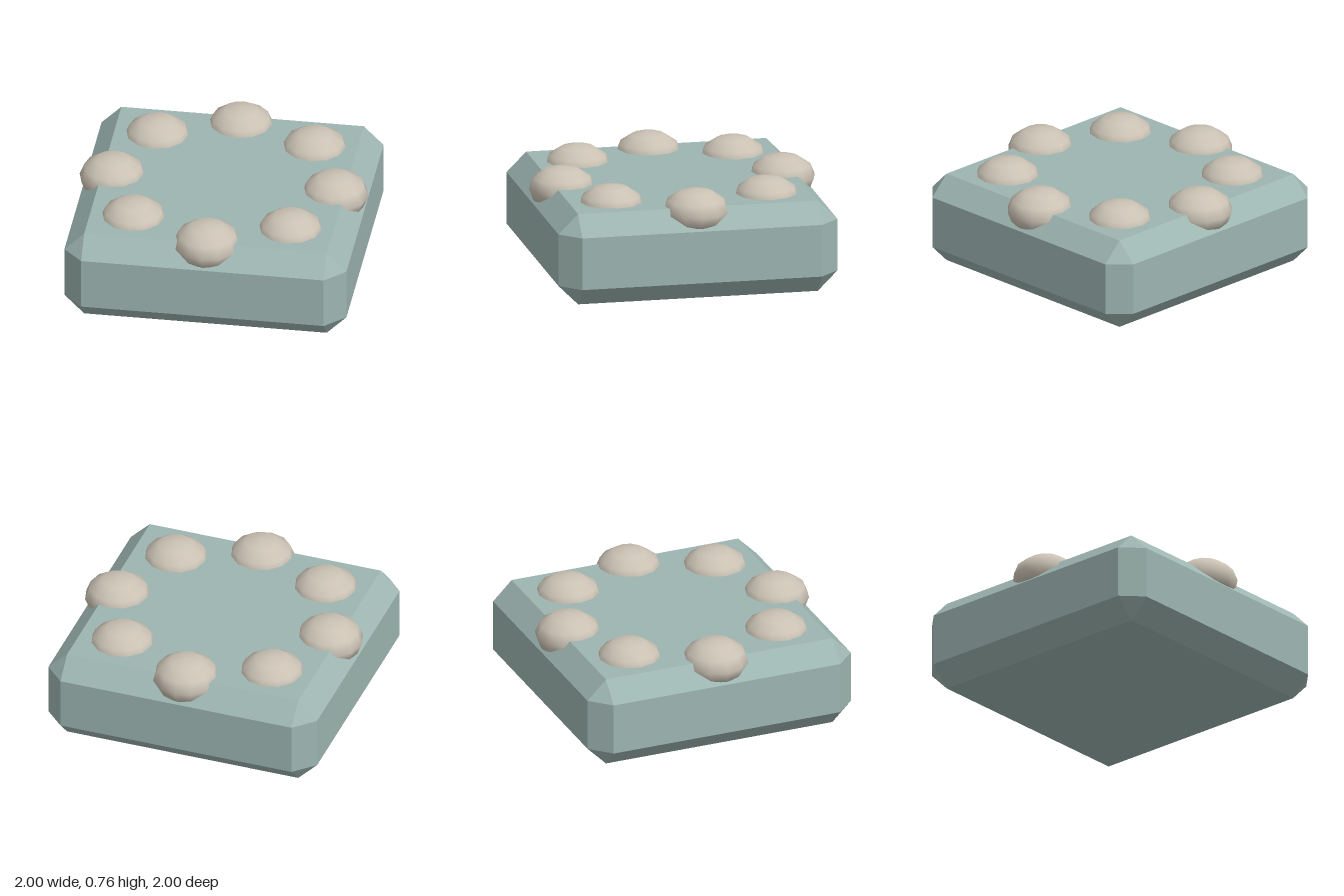
import * as THREE from 'three';
import { ConvexGeometry } from 'three/addons/geometries/ConvexGeometry.js';

const HALF = 0.977;   // half width of the slab
const INNER = 0.84;   // half width inside the chamfer
const HEIGHT = 0.64;
const CHAMFER = HALF - INNER;

// Square slab with every edge and corner cut at 45 degrees
function chamferedSlab() {
  const points = [];
  for (const sx of [-1, 1]) for (const sz of [-1, 1]) for (const top of [false, true]) {
    const edgeY = top ? HEIGHT - CHAMFER : CHAMFER;
    points.push(
      new THREE.Vector3(sx * INNER, top ? HEIGHT : 0, sz * INNER),
      new THREE.Vector3(sx * HALF, edgeY, sz * INNER),
      new THREE.Vector3(sx * INNER, edgeY, sz * HALF)
    );
  }
  return new ConvexGeometry(points);
}

export function createModel() {
  const model = new THREE.Group();
  model.name = 'studdedSlab';

  const slabMaterial = new THREE.MeshStandardMaterial({ color: 0x9db5b1 });
  slabMaterial.name = 'greyTeal';
  const studMaterial = new THREE.MeshStandardMaterial({ color: 0xcbc2b4 });
  studMaterial.name = 'paleStone';

  const slab = new THREE.Mesh(chamferedSlab(), slabMaterial);
  slab.name = 'slab';
  model.add(slab);

  // Ring of eight flattened stones half sunk into the top
  const studGeometry = new THREE.SphereGeometry(0.23, 12, 6);
  studGeometry.scale(1, 0.68, 1);
  const studs = new THREE.Group();
  studs.name = 'stones';
  for (let i = 0; i < 8; i++) {
    const angle = (i * Math.PI) / 4;
    const stud = new THREE.Mesh(studGeometry, studMaterial);
    stud.name = `stone${i + 1}`;
    stud.position.set(Math.cos(angle) * 0.77, 0.6, Math.sin(angle) * 0.77);
    studs.add(stud);
  }
  model.add(studs);

  return model;
}
